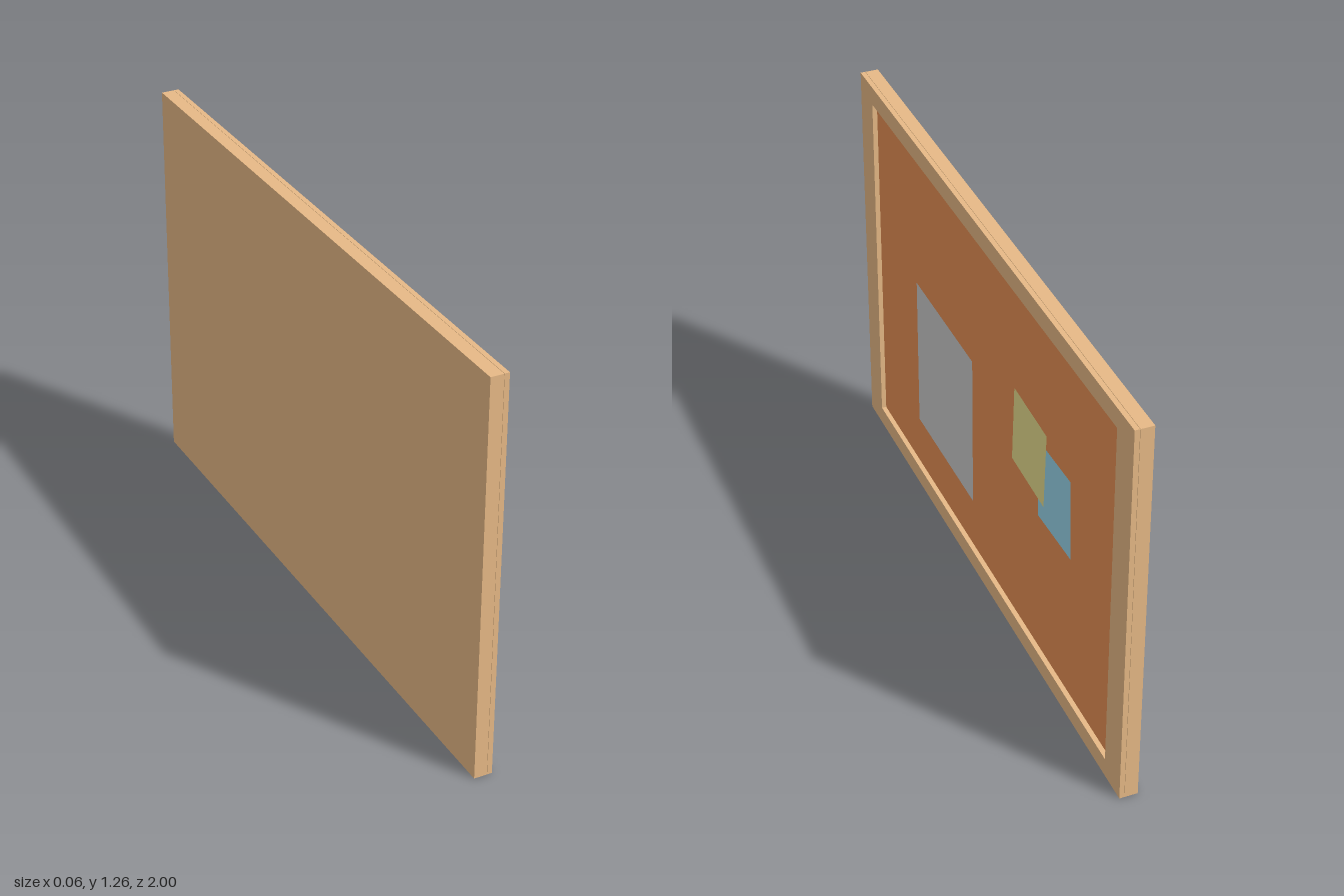
import * as THREE from 'three';

const HEIGHT = 1.26, THICK = 0.056, FACE = 0.013; // FACE: depth of the recessed cork surface

export function createModel() {
  const model = new THREE.Group();
  model.name = 'pinBoard';

  // Laid out in the XY plane facing +z, then turned to face +x
  const board = new THREE.Group();
  board.name = 'board';
  board.rotation.y = Math.PI / 2;
  model.add(board);

  const add = (name, geometry, color, x, y, z, tilt = 0) => {
    const mesh = new THREE.Mesh(geometry, new THREE.MeshStandardMaterial({ color }));
    mesh.name = name;
    mesh.position.set(x, y, z);
    mesh.rotation.z = tilt;
    board.add(mesh);
    return mesh;
  };

  const rectangle = (Type, x0, y0, x1, y1) => {
    const path = new Type();
    path.moveTo(x0, y0).lineTo(x1, y0).lineTo(x1, y1).lineTo(x0, y1).closePath();
    return path;
  };

  // Wooden frame with a rectangular opening
  const outline = rectangle(THREE.Shape, -1, 0, 1, HEIGHT);
  outline.holes.push(rectangle(THREE.Path, -0.9, 0.06, 0.9, 1.2));
  const rim = THICK / 2 - FACE;
  add('frame', new THREE.ExtrudeGeometry(outline, { depth: rim, bevelEnabled: false }), 0xe7b986, 0, 0, FACE);

  // Solid wooden back behind the opening
  const backDepth = THICK / 2 + FACE - 0.001;
  add('backPanel', new THREE.BoxGeometry(2, HEIGHT, backDepth), 0xe7b986, 0, HEIGHT / 2, -THICK / 2 + backDepth / 2);

  // Cork surface
  add('cork', new THREE.PlaneGeometry(1.8, 1.14), 0xe79155, 0, 0.63, FACE);

  // Pinned sheets, each slightly proud of the one below
  const sheets = [
    ['paper', 0.458, 0.515, 0xcccccc, -0.346, 0.488, 0.002, 0],
    ['blueNote', 0.228, 0.26, 0x99d6eb, 0.488, 0.674, 0.002, 0.045],
    ['yellowNote', 0.23, 0.255, 0xe8de8e, 0.315, 0.732, 0.004, -0.055],
  ];
  for (const [name, w, h, color, x, y, lift, tilt] of sheets) {
    add(name, new THREE.PlaneGeometry(w, h), color, x, y, FACE + lift, tilt).material.side = THREE.DoubleSide;
  }

  return model;
}
